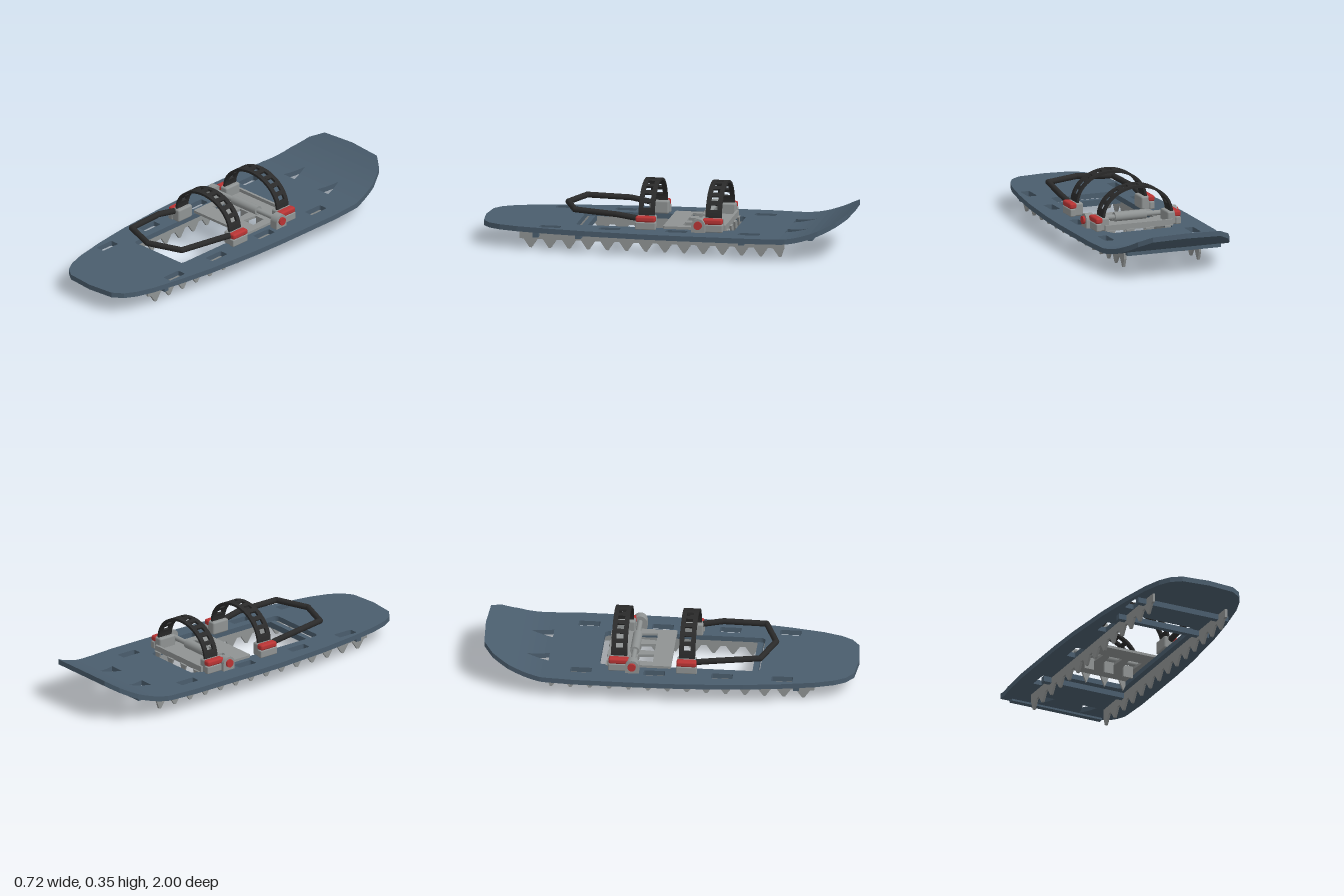
import * as THREE from 'three';
import { mergeGeometries } from 'three/addons/utils/BufferGeometryUtils.js';
import { RoundedBoxGeometry } from 'three/addons/geometries/RoundedBoxGeometry.js';

const mat = (name, color) => {
  const m = new THREE.MeshStandardMaterial({ color });
  m.name = name;
  return m;
};

// Right half of the deck outline as [z, half width], tip to tail
const OUTLINE = [[-0.99, 0.195], [-0.94, 0.26], [-0.85, 0.305], [-0.68, 0.349], [-0.5, 0.361], [-0.1, 0.361],
  [0.1, 0.355], [0.4, 0.332], [0.6, 0.305], [0.78, 0.272], [0.88, 0.24], [0.94, 0.205], [0.98, 0.15], [0.995, 0]];
const TIP = -0.65, DECK_Y = 0.097, DECK_T = 0.028;

function halfWidth(z) {
  for (let i = 1; i < OUTLINE.length; i++) {
    const [z0, w0] = OUTLINE[i - 1], [z1, w1] = OUTLINE[i];
    if (z <= z1) return w0 + (w1 - w0) * (z - z0) / (z1 - z0);
  }
  return 0;
}

const polygon = pts => new THREE.Shape(pts.map(([x, y]) => new THREE.Vector2(x, y)));

function roundRect(Type, x0, x1, y0, y1, r) {
  const p = new Type();
  p.absarc(x1 - r, y1 - r, r, 0, Math.PI / 2);
  p.absarc(x0 + r, y1 - r, r, Math.PI / 2, Math.PI);
  p.absarc(x0 + r, y0 + r, r, Math.PI, Math.PI * 1.5);
  p.absarc(x1 - r, y0 + r, r, Math.PI * 1.5, Math.PI * 2);
  p.closePath();
  return p;
}

// Extrudes a plan shape (x, -z) upwards from height y
function slab(shape, y, t, curveSegments = 4) {
  const g = new THREE.ExtrudeGeometry(shape, { depth: t, bevelEnabled: false, curveSegments });
  g.rotateX(-Math.PI / 2);
  g.translate(0, y, 0);
  return g;
}

function deckGeometry() {
  // Flat part with foot opening and side slots
  const half = [[TIP, halfWidth(TIP)], ...OUTLINE.filter(([z]) => z > TIP)];
  const right = half.map(([z, w]) => [w, -z]);
  const left = half.slice(0, -1).reverse().map(([z, w]) => [-w, -z]);
  const flat = polygon([...right, ...left]);
  flat.holes.push(roundRect(THREE.Path, -0.178, 0.178, -0.478, 0.378, 0.025));
  for (const s of [-1, 1]) for (const z of [-0.47, -0.078, 0.283, 0.604])
    flat.holes.push(roundRect(THREE.Path, s * 0.249 - 0.026, s * 0.249 + 0.026, -z - 0.057, -z + 0.057, 0.008));
  const parts = [slab(flat, DECK_Y, DECK_T)];

  // Upturned tip in cross bands, split around the two triangular cut-outs
  const zs = [TIP, -0.68, -0.71, -0.74, -0.77, -0.81, -0.85, -0.88, -0.91, -0.94, -0.965, -0.99];
  const edges = z => {
    const h = Math.max(0, 0.041 * (z + 0.77) / 0.12), w = halfWidth(z);
    return [-w, -0.125 - h, -0.125 + h, 0.125 - h, 0.125 + h, w];
  };
  for (let i = 1; i < zs.length; i++) {
    const a = edges(zs[i - 1]), b = edges(zs[i]);
    const step = zs[i] < -0.771 ? 5 : 2;
    for (let k = 0; k < 5; k += step) {
      const e = step === 5 ? 5 : k + 1;
      parts.push(slab(polygon([[a[k], -zs[i - 1]], [a[e], -zs[i - 1]], [b[e], -zs[i]], [b[k], -zs[i]]]), DECK_Y, DECK_T));
    }
  }
  parts.push(slab(polygon([[-0.195, 0.99], [0.195, 0.99], [0, 1]]), DECK_Y, DECK_T));
  const g = mergeGeometries(parts);
  const p = g.attributes.position;
  for (let i = 0; i < p.count; i++) {
    const d = Math.max(0, -0.64 - p.getZ(i)) / 0.36;
    p.setY(i, p.getY(i) + 0.123 * d * d);
  }
  g.computeVertexNormals();
  return g;
}

// Side rail with a row of teeth along its lower edge
function railGeometry() {
  const pts = [[0.655, 0.098], [-0.773, 0.098], [-0.773, 0.05]];
  for (let i = 0; i < 14; i++) {
    const c = -0.714 + i * 0.1036;
    pts.push([c - 0.038, 0.048], [c - 0.006, 0.002], [c + 0.006, 0.002], [c + (i === 13 ? 0.022 : 0.038), 0.048]);
  }
  pts.push([0.655, 0.05]);
  const g = new THREE.ExtrudeGeometry(polygon(pts), { depth: 0.013, bevelEnabled: false });
  g.translate(0, 0, -0.0065);
  g.rotateY(Math.PI / 2);
  return g;
}

// Piece of the strap arch between two angles
function archBand(t0, t1, z, depth) {
  const n = Math.max(2, Math.round((t1 - t0) * 11)), outer = [], inner = [];
  for (let i = 0; i <= n; i++) {
    const t = t0 + (t1 - t0) * i / n, c = Math.cos(t), s = Math.sin(t);
    outer.push([0.202 * c, 0.19 + 0.164 * s]);
    inner.unshift([0.189 * c, 0.19 + 0.151 * s]);
  }
  const g = new THREE.ExtrudeGeometry(polygon([...outer, ...inner]), { depth, bevelEnabled: false });
  g.translate(0, 0, z - depth / 2);
  return g;
}

// Arched strap with a row of slots
function strapGeometry() {
  const parts = [-1, 1].map(s => archBand(0, Math.PI, s * 0.031, 0.024));
  const pitch = 0.3, hole = 0.16, first = Math.PI / 2 - 4 * pitch;
  let from = 0;
  for (let i = 0; i <= 9; i++) {
    const c = first + i * pitch;
    parts.push(archBand(from, i === 9 ? Math.PI : c - hole / 2, 0, 0.038));
    from = c + hole / 2;
  }
  return mergeGeometries(parts);
}

export function createModel() {
  const blue = mat('slate blue', 0x4a5d6d), grey = mat('metal grey', 0x8f9393);
  const black = mat('black rubber', 0x2a2a2a), red = mat('red', 0xb93434);
  const model = new THREE.Group();
  model.name = 'snowshoe';
  const add = (name, geo, material, x = 0, y = 0, z = 0) => {
    const m = new THREE.Mesh(geo, material);
    m.name = name;
    m.position.set(x, y, z);
    model.add(m);
    return m;
  };
  const box = (name, material, w, h, d, x, y, z) => add(name, new THREE.BoxGeometry(w, h, d), material, x, y, z);
  const soft = (name, material, w, h, d, x, y, z, r = 0.01) =>
    add(name, new RoundedBoxGeometry(w, h, d, 2, r), material, x, y, z);
  const rod = (name, material, r, len, x, y, z) => {
    const g = new THREE.CylinderGeometry(r, r, len, 20);
    g.rotateZ(Math.PI / 2);
    return add(name, g, material, x, y, z);
  };

  // Deck and the bars beneath it
  add('deck', deckGeometry(), blue);
  for (const z of [0.68, 0.45, -0.43]) box('crossBar', blue, 0.536, 0.032, 0.03, 0, 0.083, z);
  box('tipBar', blue, 0.536, 0.03, 0.03, 0, 0.122, -0.802);
  const rail = railGeometry();
  for (const s of [-1, 1]) add('toothedRail', rail, grey, s * 0.215);

  // Toe plate with three windows, bent tabs and front teeth
  const plate = roundRect(THREE.Shape, -0.195, 0.195, -0.005, 0.335, 0.008);
  for (const x of [-0.115, 0, 0.115]) {
    const w = [[x - 0.038, 0.095], [x + 0.038, 0.095], [x + 0.03, 0.18], [x - 0.03, 0.18]];
    plate.holes.push(new THREE.Path(w.map(([a, b]) => new THREE.Vector2(a, b))));
    box('plateTab', grey, 0.055, 0.055, 0.01, x, 0.1, -0.185);
  }
  add('toePlate', slab(plate, 0.125, 0.014), grey);
  const tooth = new THREE.ExtrudeGeometry(polygon([[-0.025, 0.128], [0, 0.07], [0.025, 0.128]]),
    { depth: 0.01, bevelEnabled: false });
  for (const x of [-0.165, -0.055, 0.055, 0.165]) add('toeTooth', tooth, grey, x, 0, -0.345);
  box('toeLip', grey, 0.39, 0.03, 0.014, 0, 0.142, -0.328);

  // Pivot axle
  rod('axle', grey, 0.014, 0.5, 0, 0.165, -0.197);
  rod('axleSleeve', grey, 0.025, 0.18, 0, 0.165, -0.197);
  for (const s of [-1, 1]) {
    rod('axleCollar', grey, 0.037, 0.045, s * 0.24, 0.163, -0.197);
    box('collarFoot', grey, 0.045, 0.04, 0.074, s * 0.24, 0.143, -0.197);
    rod('axleKnob', red, 0.022, 0.016, s * 0.266, 0.165, -0.197);
  }

  // Straps with their brackets and buckles
  const strap = strapGeometry();
  for (const z of [-0.27, 0.092]) {
    add('strap', strap, black, 0, 0, z);
    for (const s of [-1, 1]) {
      soft('strapBracket', grey, 0.06, 0.072, 0.104, s * 0.197, 0.16, z);
      soft('bracketFoot', grey, 0.03, 0.042, 0.112, s * 0.228, 0.145, z, 0.006);
      soft('buckle', red, 0.042, 0.032, 0.108, s * 0.224, 0.181, z, 0.011);
    }
  }

  // Heel loop of round bar with ball joints at the bends
  const right = [[0.205, 0.178, 0.13], [0.213, 0.198, 0.25], [0.186, 0.21, 0.482], [0, 0.21, 0.55]];
  const pts = [...right, ...right.slice(0, 3).reverse().map(([x, y, z]) => [-x, y, z])]
    .map(p => new THREE.Vector3(...p));
  for (let i = 1; i < pts.length; i++)
    add('heelLoop', new THREE.TubeGeometry(new THREE.LineCurve3(pts[i - 1], pts[i]), 1, 0.016, 12), black);
  const ball = new THREE.SphereGeometry(0.016, 12, 8);
  for (const p of pts) add('heelLoopBend', ball, black, p.x, p.y, p.z);

  return model;
}
